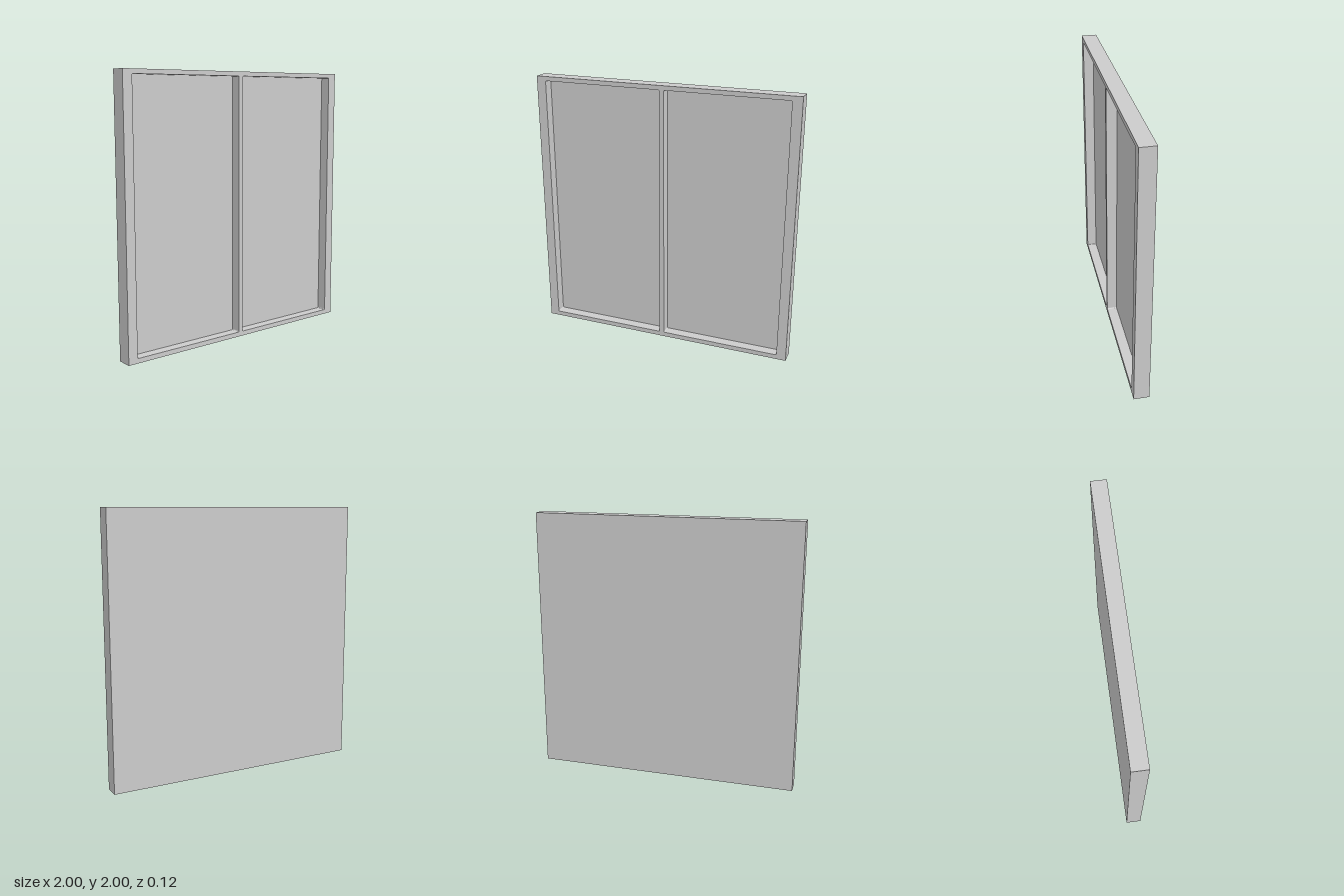
import * as THREE from 'three';

const SIZE = 2, DEPTH = 0.115, RECESS = 0.077;

// Trace a rectangle with slightly rounded corners
function roundedRect(path, x0, y0, x1, y1, r) {
  path.moveTo(x0 + r, y0);
  path.lineTo(x1 - r, y0);
  path.absarc(x1 - r, y0 + r, r, -Math.PI / 2, 0);
  path.lineTo(x1, y1 - r);
  path.absarc(x1 - r, y1 - r, r, 0, Math.PI / 2);
  path.lineTo(x0 + r, y1);
  path.absarc(x0 + r, y1 - r, r, Math.PI / 2, Math.PI);
  path.lineTo(x0, y0 + r);
  path.absarc(x0 + r, y0 + r, r, Math.PI, Math.PI * 1.5);
  return path;
}

export function createModel() {
  const group = new THREE.Group();
  group.name = 'twoBayPanel';
  const material = new THREE.MeshStandardMaterial({ color: 0xcccccc });
  const half = SIZE / 2;

  // Front frame with a centre mullion between two tall openings
  const outline = new THREE.Shape();
  outline.moveTo(-half, 0);
  outline.lineTo(half, 0);
  outline.lineTo(half, SIZE);
  outline.lineTo(-half, SIZE);
  outline.closePath();
  for (const [x0, x1] of [[-0.928, -0.018], [0.018, 0.928]]) {
    outline.holes.push(roundedRect(new THREE.Path(), x0, 0.035, x1, 1.967, 0.008));
  }
  const frameGeometry = new THREE.ExtrudeGeometry(outline, {
    depth: RECESS, bevelEnabled: false, curveSegments: 6,
  });
  const frame = new THREE.Mesh(frameGeometry, material);
  frame.name = 'frame';
  frame.position.z = DEPTH / 2 - RECESS;
  group.add(frame);

  // Solid back panel closing both recesses
  const backDepth = DEPTH - RECESS;
  const back = new THREE.Mesh(new THREE.BoxGeometry(SIZE, SIZE, backDepth), material);
  back.name = 'backPanel';
  back.position.set(0, half, -DEPTH / 2 + backDepth / 2);
  group.add(back);

  return group;
}
